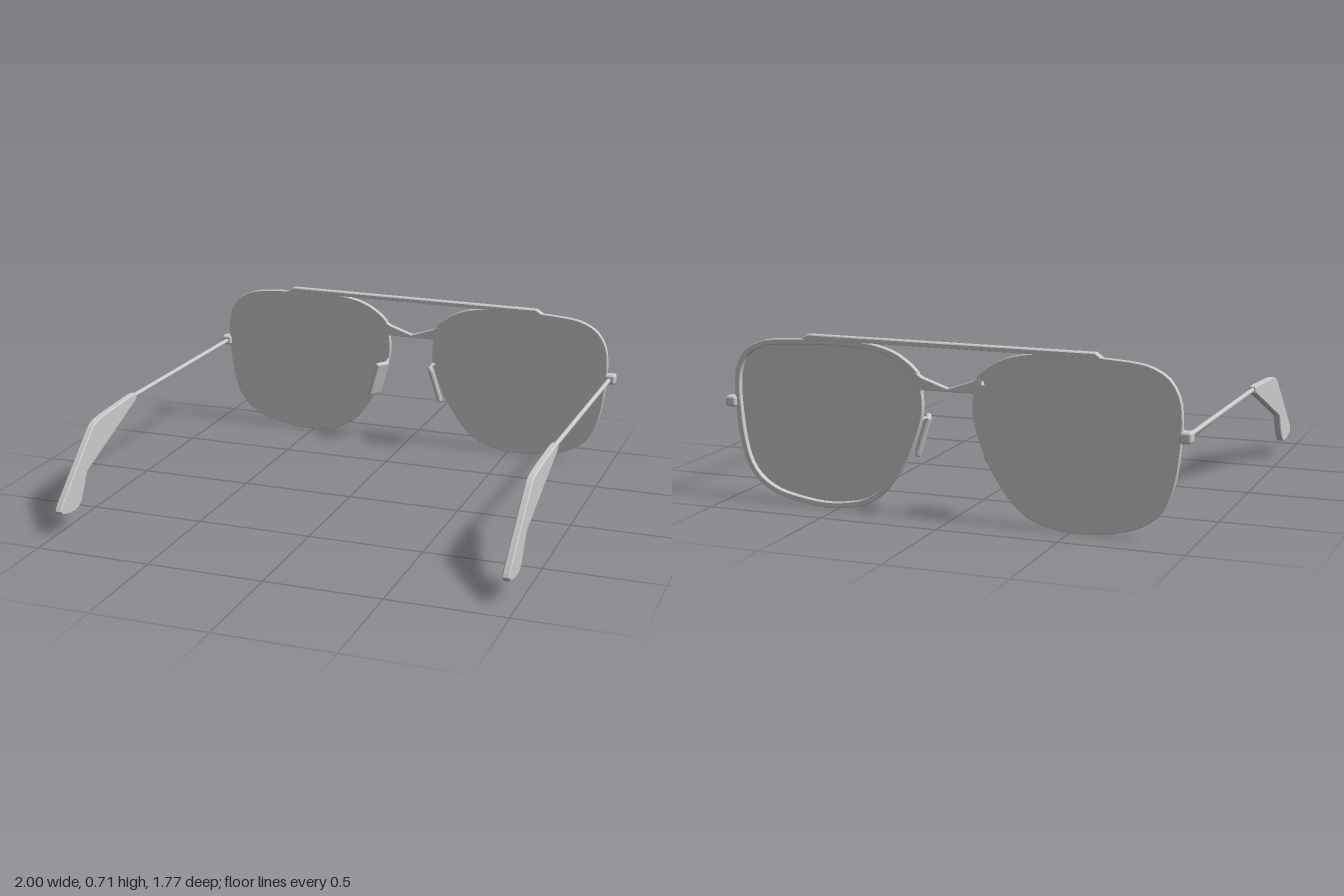
import * as THREE from 'three';
import { toCreasedNormals } from 'three/addons/utils/BufferGeometryUtils.js';
import { RoundedBoxGeometry } from 'three/addons/geometries/RoundedBoxGeometry.js';

const FRONT_Z = -0.845; // middle plane of the frame front
const TEMPLE_X = 0.967;
const HINGE_Y = 0.42;

const metal = new THREE.MeshStandardMaterial({ color: 0xcccccc });
const sheet = new THREE.MeshStandardMaterial({ color: 0xcccccc, side: THREE.DoubleSide });

// Outline of one lens (the +x one), starting at the bridge and running down the nose side
const LENS = [
  [0.112, 0.527], [0.107, 0.436], [0.128, 0.356], [0.171, 0.249], [0.235, 0.147], [0.294, 0.078],
  [0.363, 0.035], [0.454, 0.013], [0.55, 0.006], [0.668, 0.019], [0.775, 0.045], [0.855, 0.094],
  [0.903, 0.158], [0.932, 0.249], [0.95, 0.382], [0.955, 0.49], [0.943, 0.57], [0.9, 0.639],
  [0.834, 0.676], [0.79, 0.687], [0.652, 0.698], [0.454, 0.702], [0.32, 0.693], [0.213, 0.66],
  [0.122, 0.586],
];

// Side profile of the ear tip as [z, y]
const TIP = [
  [0.165, 0.43], [0.168, 0.405], [0.631, 0.217], [0.648, 0.19], [0.665, 0.151], [0.693, 0.104],
  [0.721, 0.082], [0.75, 0.079], [0.792, 0.08], [0.853, 0.094], [0.867, 0.113], [0.853, 0.137],
  [0.579, 0.387], [0.558, 0.402], [0.532, 0.411], [0.471, 0.42], [0.202, 0.434],
];

const toShape = (pts) => new THREE.Shape(pts.map(([x, y]) => new THREE.Vector2(x, y)));

// Extrusion centred on its own depth, with a fine bevel kept inside the outline
function slab(shape, depth, bevel = 0.003) {
  const g = new THREE.ExtrudeGeometry(shape, {
    depth: depth - 2 * bevel, bevelEnabled: true, bevelThickness: bevel,
    bevelSize: bevel, bevelOffset: -bevel, bevelSegments: 1,
  });
  g.translate(0, 0, bevel - depth / 2);
  return toCreasedNormals(g, 0.6);
}

// Smooth closed outline, pulled inwards by a given inset
function lensOutline(s, inset) {
  const curve = new THREE.CatmullRomCurve3(
    LENS.map(([x, y]) => new THREE.Vector3(x, y, 0)), true, 'centripetal');
  const pts = [];
  for (let i = 0; i < 72; i++) {
    const p = curve.getPointAt(i / 72);
    const t = curve.getTangentAt(i / 72);
    pts.push([s * (p.x - t.y * inset), p.y + t.x * inset]);
  }
  return pts;
}

function add(parent, name, geometry, material = metal) {
  const mesh = new THREE.Mesh(geometry, material);
  mesh.name = name;
  parent.add(mesh);
  return mesh;
}

function addSide(group, s, side) {
  // Rim with the lens lying flush on its rear face
  const rim = toShape(lensOutline(s, 0));
  rim.holes.push(new THREE.Path(lensOutline(s, 0.024).map(([x, y]) => new THREE.Vector2(x, y))));
  add(group, side + 'Rim', slab(rim, 0.024)).position.z = FRONT_Z;
  const lens = new THREE.ShapeGeometry(toShape(lensOutline(s, 0.004)));
  add(group, side + 'Lens', lens, sheet).position.z = FRONT_Z + 0.0125;

  // Hinge block
  add(group, side + 'Hinge', new RoundedBoxGeometry(0.05, 0.046, 0.054, 2, 0.012))
    .position.set(s * 0.97, HINGE_Y, FRONT_Z);

  // Thin temple rod and flat ear tip
  const rod = new THREE.CylinderGeometry(0.01, 0.01, 1.05, 12).rotateX(Math.PI / 2);
  add(group, side + 'Temple', rod).position.set(s * TEMPLE_X, HINGE_Y - 0.002, FRONT_Z + 0.525);
  const tip = slab(toShape(TIP), 0.03, 0.004).rotateY(-Math.PI / 2);
  add(group, side + 'EarTip', tip).position.x = s * TEMPLE_X;

  // Nose pad, splayed outwards at the bottom and the rear
  const pad = add(group, side + 'NosePad', new RoundedBoxGeometry(0.024, 0.17, 0.082, 2, 0.01));
  pad.position.set(s * 0.143, 0.325, -0.772);
  pad.rotation.set(0.08, s * 0.42, s * 0.32, 'ZYX');

  // Bent wire carrying the pad
  const wire = new THREE.CatmullRomCurve3([
    [0.122, 0.4, FRONT_Z], [0.112, 0.405, -0.815], [0.118, 0.385, -0.785], [0.137, 0.345, -0.772],
  ].map(([x, y, z]) => new THREE.Vector3(s * x, y, z)));
  add(group, side + 'PadArm', new THREE.TubeGeometry(wire, 16, 0.007, 8));
}

export function createModel() {
  const group = new THREE.Group();
  group.name = 'glasses';

  addSide(group, 1, 'left');
  addSide(group, -1, 'right');

  // Straight brow bar across both rims
  const brow = toShape([[-0.64, 0.697], [-0.61, 0.718], [0.61, 0.718], [0.64, 0.697]]);
  add(group, 'browBar', slab(brow, 0.034, 0.004)).position.z = FRONT_Z;

  // Bridge with a shallow V along its top edge
  const bridge = toShape([
    [-0.125, 0.525], [0.125, 0.525], [0.15, 0.56], [0.137, 0.594], [0.11, 0.575],
    [0, 0.538], [-0.11, 0.575], [-0.137, 0.594], [-0.15, 0.56],
  ]);
  add(group, 'bridge', slab(bridge, 0.026)).position.z = FRONT_Z;

  // The whole pair sits very slightly turned
  group.rotation.y = -0.0155;
  group.position.x = -0.004;
  return group;
}
